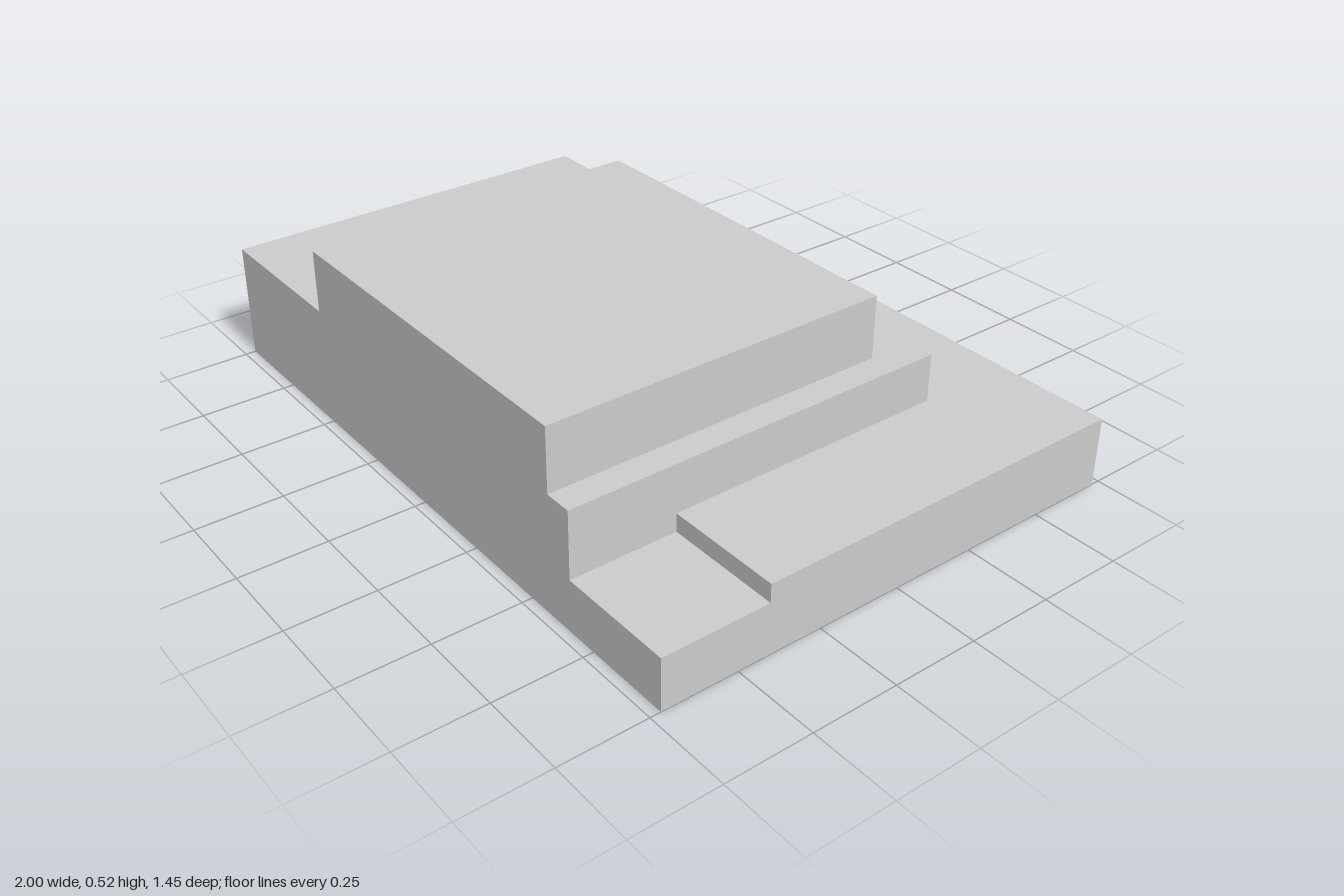
import * as THREE from 'three';

const FRONT = 0.72;
const BACK = -0.725;

export function createModel() {
  const model = new THREE.Group();
  model.name = 'steppedBlock';
  const material = new THREE.MeshStandardMaterial({ color: 0xcccccc, flatShading: true });

  // Raises a floor outline of [x, z] corners from one height to another
  function slab(name, outline, bottom, top) {
    const shape = new THREE.Shape(outline.map(([x, z]) => new THREE.Vector2(x, -z)));
    const geometry = new THREE.ExtrudeGeometry(shape, { depth: top - bottom, bevelEnabled: false });
    geometry.rotateX(-Math.PI / 2).translate(0, bottom, 0);
    const mesh = new THREE.Mesh(geometry, material);
    mesh.name = name;
    model.add(mesh);
  }

  const rectangle = (x0, x1, z0, z1) => [[x0, z0], [x1, z0], [x1, z1], [x0, z1]];

  // Full footprint, up to the floor of the low front corner
  slab('base', rectangle(-1, 1, BACK, FRONT), 0, 0.15);

  // Lower terrace with the front left corner cut away
  slab('lowerTerrace', [[-1, BACK], [1, BACK], [1, 0.41], [0.66, 0.41], [0.66, FRONT], [-1, FRONT]], 0.15, 0.203);

  // Two upper steps, flush with the front
  slab('middleTerrace', rectangle(-1, 0.66, -0.432, FRONT), 0.203, 0.343);
  slab('topBlock', rectangle(-0.518, 0.58, -0.296, FRONT), 0.343, 0.525);

  return model;
}
